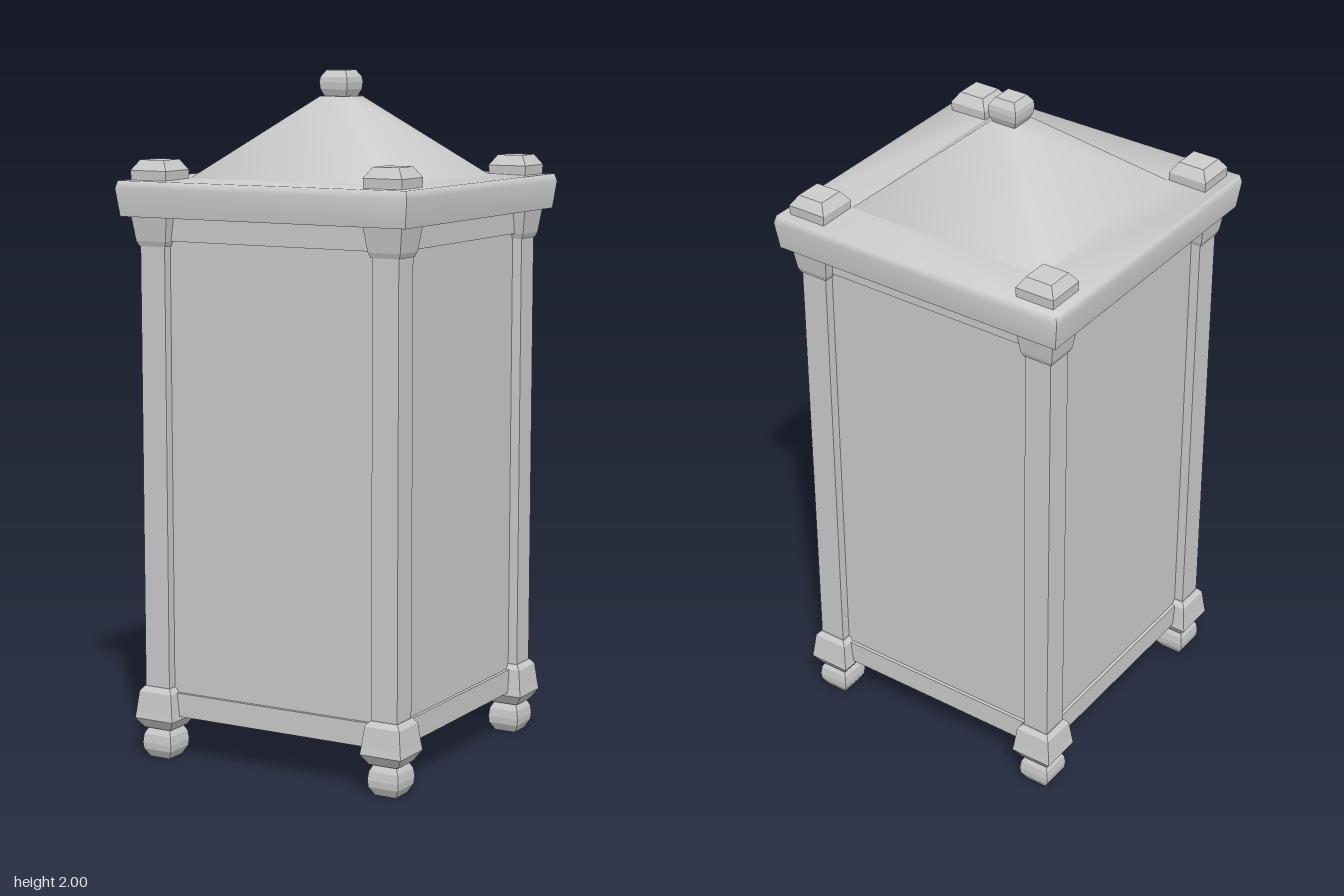
import * as THREE from 'three';
import { toCreasedNormals } from 'three/addons/utils/BufferGeometryUtils.js';

const flat = new THREE.MeshStandardMaterial({ color: 0xcccccc, flatShading: true });
const smooth = new THREE.MeshStandardMaterial({ color: 0xcccccc });

// Square-section turned form: profile holds [halfWidth, y] pairs from bottom to top.
function squareLoft(profile) {
  const points = profile.map(([half, y]) => new THREE.Vector2(half * Math.SQRT2, y));
  points.unshift(new THREE.Vector2(0, profile[0][1]));
  points.push(new THREE.Vector2(0, profile[profile.length - 1][1]));
  return new THREE.LatheGeometry(points, 4, Math.PI / 4);
}

export function createModel() {
  const model = new THREE.Group();
  const add = (parent, name, geometry, material = flat) => {
    const mesh = new THREE.Mesh(geometry, material);
    mesh.name = name;
    parent.add(mesh);
    return mesh;
  };
  const slab = (name, half, y0, y1) =>
    add(model, name, squareLoft([[half, y0], [half, y1]]));

  // Case with slightly proud rails at top and bottom
  slab('panels', 0.39, 0.19, 1.53);
  slab('bottomRail', 0.4, 0.13, 0.2);
  slab('topRail', 0.4, 1.52, 1.6);

  // Corner posts with feet, blocks and roof pads
  const foot = squareLoft([[0.033, 0.005], [0.047, 0.03], [0.049, 0.05], [0.046, 0.075], [0.033, 0.1]]);
  const baseBlock = squareLoft([[0.045, 0.09], [0.065, 0.12], [0.062, 0.14], [0.055, 0.2], [0.043, 0.215]]);
  const post = squareLoft([[0.041, 0.2], [0.041, 1.52]]);
  const capital = squareLoft([[0.044, 1.505], [0.05, 1.52], [0.06, 1.59]]);
  const roofPad = squareLoft([[0.058, 1.68], [0.06, 1.72], [0.04, 1.75]]);
  for (const sx of [-1, 1]) {
    for (const sz of [-1, 1]) {
      const corner = new THREE.Group();
      corner.name = (sz > 0 ? 'front' : 'back') + (sx > 0 ? 'Left' : 'Right') + 'Corner';
      add(corner, 'foot', foot);
      add(corner, 'baseBlock', baseBlock);
      add(corner, 'post', post);
      add(corner, 'capital', capital);
      add(corner, 'roofPad', roofPad);
      corner.position.set(sx * 0.378, 0, sz * 0.378);
      model.add(corner);
    }
  }

  // Overhanging rim with softly shaded top edge
  const rim = squareLoft([[0.46, 1.59], [0.47, 1.67], [0.464, 1.692], [0.32, 1.695]]);
  add(model, 'roofRim', toCreasedNormals(rim, 1.4), smooth);

  // Hipped roof, smooth across the hips
  const hip = squareLoft([[0.322, 1.69], [0.045, 1.925]]);
  add(model, 'hippedRoof', toCreasedNormals(hip, 1.0), smooth);

  // Finial
  add(model, 'finial', squareLoft([[0.033, 1.92], [0.044, 1.945], [0.046, 1.965], [0.044, 1.98], [0.031, 2]]));

  // Stand the feet exactly on the ground
  model.traverse((part) => {
    if (part.name === 'foot') part.position.y = -0.005;
  });
  return model;
}
